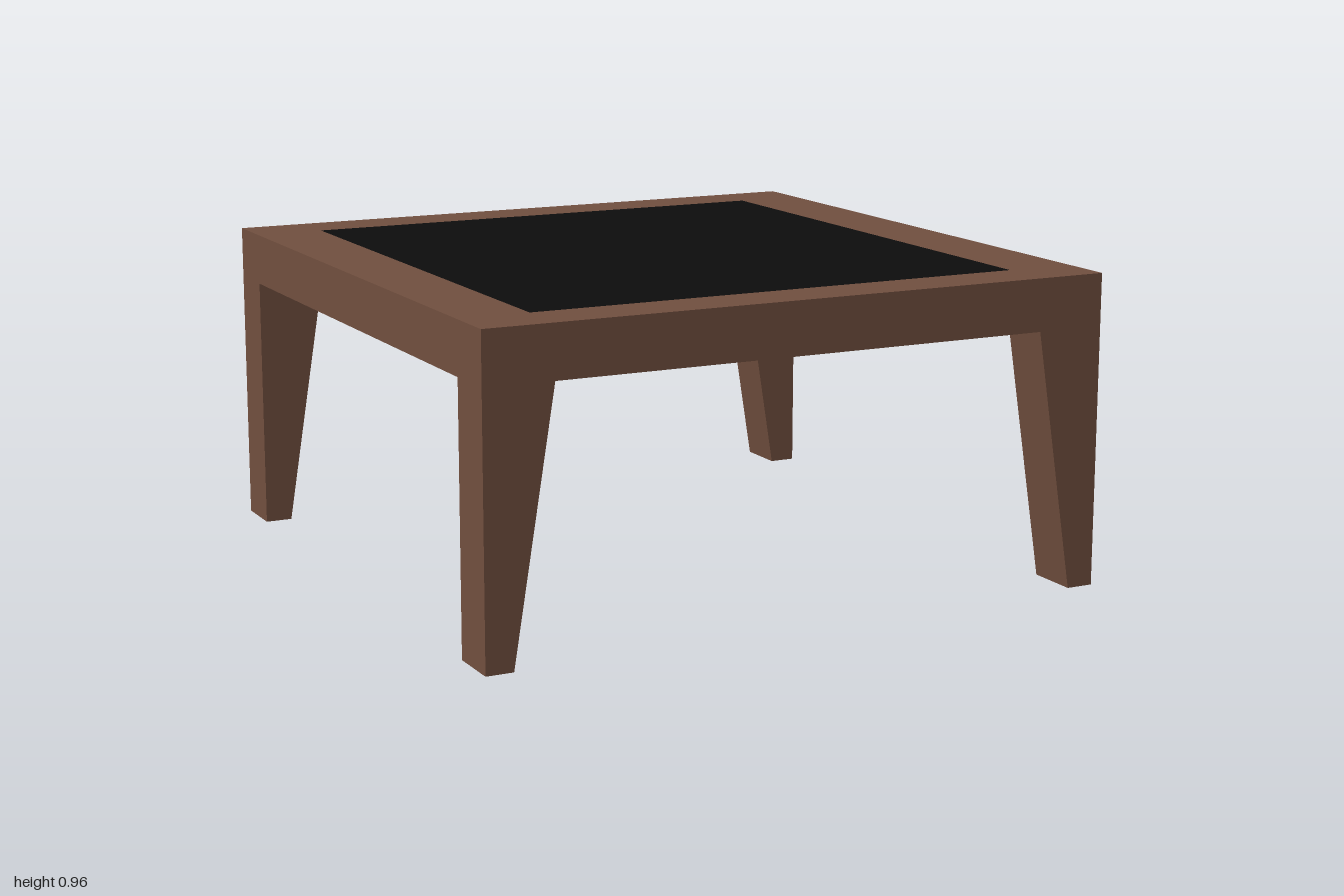
import * as THREE from 'three';

const HEIGHT = 0.96, UNDER = 0.8;       // top surface and underside of the tabletop
const INNER_X = 0.785, INNER_Z = 0.835; // half size of the inlaid panel

const wood = new THREE.MeshStandardMaterial({ color: 0x704e3e });
const black = new THREE.MeshStandardMaterial({ color: 0x0d0d0d });

const rectangle = (Type, x, z) => new Type([
  new THREE.Vector2(-x, -z), new THREE.Vector2(x, -z),
  new THREE.Vector2(x, z), new THREE.Vector2(-x, z),
]);

function addPart(group, name, geometry, material) {
  const mesh = new THREE.Mesh(geometry, material);
  mesh.name = name;
  group.add(mesh);
  return mesh;
}

// Board that fills the frame opening between two heights
function board(y0, y1) {
  return new THREE.BoxGeometry(2 * INNER_X, y1 - y0, 2 * INNER_Z).translate(0, (y0 + y1) / 2, 0);
}

// Leg with a straight outer face and an inner face that tapers to the foot
function legGeometry(side) {
  const outline = new THREE.Shape([
    new THREE.Vector2(side, 0),
    new THREE.Vector2(side, UNDER),
    new THREE.Vector2(side * INNER_X, UNDER),
    new THREE.Vector2(side * 0.915, 0),
  ]);
  return new THREE.ExtrudeGeometry(outline, { depth: 1 - INNER_Z, bevelEnabled: false });
}

export function createModel() {
  const group = new THREE.Group();
  group.name = 'table';

  // Tabletop: wooden frame, flush black panel, wooden underside
  const frame = rectangle(THREE.Shape, 1, 1);
  frame.holes.push(rectangle(THREE.Path, INNER_X, INNER_Z));
  const frameGeometry = new THREE.ExtrudeGeometry(frame, { depth: HEIGHT - UNDER, bevelEnabled: false });
  frameGeometry.rotateX(-Math.PI / 2).translate(0, UNDER, 0);
  addPart(group, 'tabletopFrame', frameGeometry, wood);
  addPart(group, 'inlaidPanel', board(HEIGHT - 0.04, HEIGHT), black);
  addPart(group, 'underside', board(UNDER, HEIGHT - 0.04), wood);

  // Four legs, flush with the corners
  for (const side of [-1, 1]) {
    for (const end of ['front', 'back']) {
      const name = end + (side > 0 ? 'Left' : 'Right') + 'Leg';
      const leg = addPart(group, name, legGeometry(side), wood);
      leg.position.z = end === 'front' ? INNER_Z : -1;
    }
  }
  return group;
}
